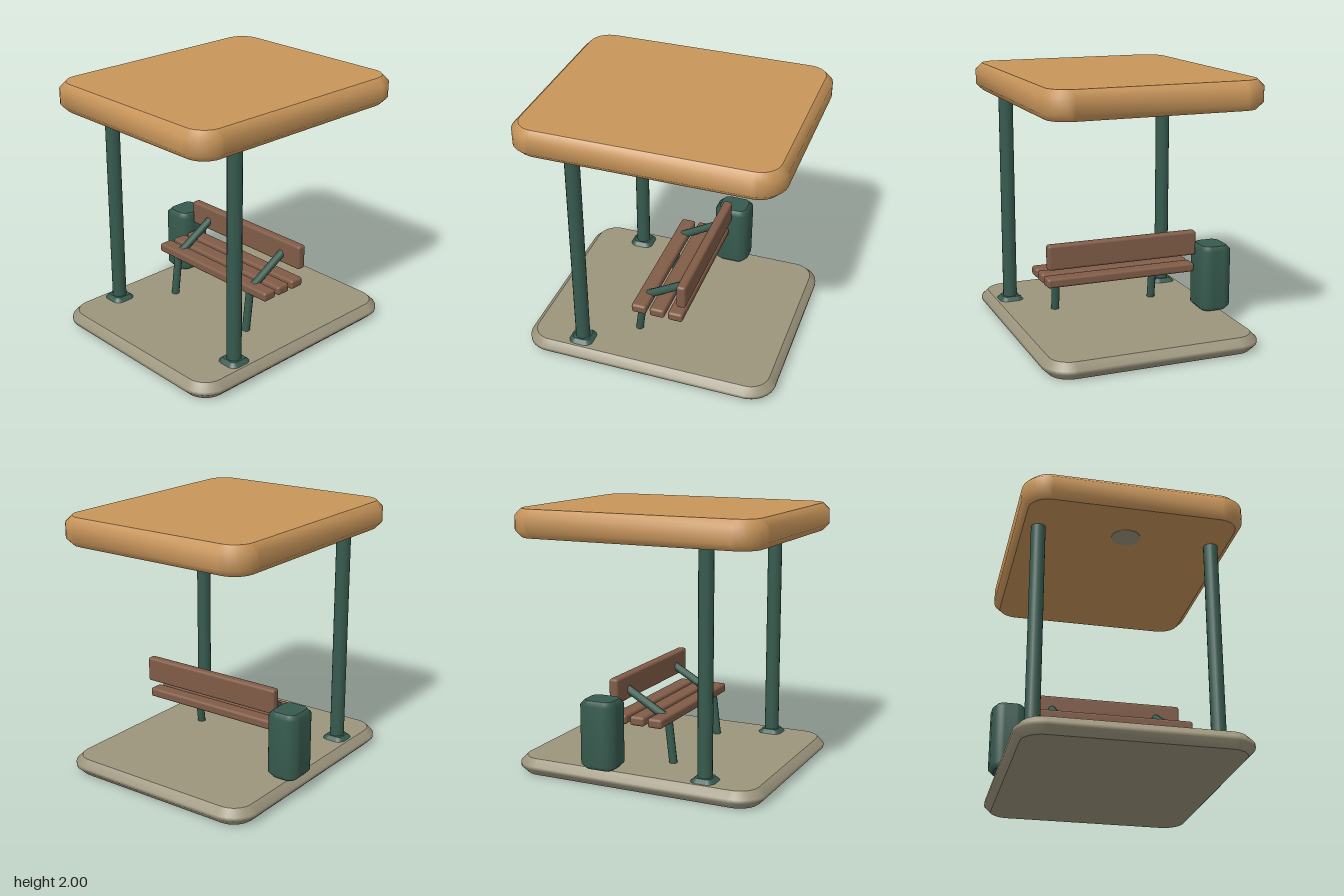
import * as THREE from 'three';
import { mergeVertices, mergeGeometries } from 'three/addons/utils/BufferGeometryUtils.js';
import { RoundedBoxGeometry } from 'three/addons/geometries/RoundedBoxGeometry.js';

const paint = (name, color) => {
  const m = new THREE.MeshStandardMaterial({ color });
  m.name = name;
  return m;
};

// Rounded slab with chamfered rims: flat lids, smoothly shaded rim
function slabGeometry(w, h, d, radius, bevel) {
  const r = radius - bevel, hx = w / 2 - radius, hz = d / 2 - radius;
  const s = new THREE.Shape();
  [[1, 1], [-1, 1], [-1, -1], [1, -1]].forEach(([sx, sz], i) =>
    s.absarc(sx * hx, sz * hz, r, i * Math.PI / 2, (i + 1) * Math.PI / 2, false));
  const ex = new THREE.ExtrudeGeometry(s, {
    depth: h - 2 * bevel, bevelThickness: bevel, bevelSize: bevel, bevelSegments: 1, curveSegments: 4,
  });
  const all = ex.attributes.position.array;
  const parts = ex.groups.map((g, i) => {
    let p = new THREE.BufferGeometry();
    p.setAttribute('position', new THREE.BufferAttribute(all.slice(g.start * 3, (g.start + g.count) * 3), 3));
    if (i === 1) p = mergeVertices(p, 1e-4);
    p.computeVertexNormals();
    return p.index ? p.toNonIndexed() : p;
  });
  return mergeGeometries(parts).rotateX(-Math.PI / 2).translate(0, bevel, 0);
}

export function createModel() {
  const model = new THREE.Group();
  model.name = 'shelter';
  const roofMat = paint('ochre roof', 0xc8955a);
  const stoneMat = paint('stone grey', 0x9c957d);
  const metalMat = paint('dark green metal', 0x365a4e);
  const woodMat = paint('brown wood', 0x805c47);
  const cx = 0.015;

  const add = (parent, name, geo, mat, x = 0, y = 0, z = 0) => {
    const m = new THREE.Mesh(geo, mat);
    m.name = name;
    m.position.set(x, y, z);
    parent.add(m);
    return m;
  };

  // Round bar between two points
  const bar = (parent, name, a, b, r, sides) => {
    const from = new THREE.Vector3(...a), dir = new THREE.Vector3(...b).sub(from);
    const m = add(parent, name, new THREE.CylinderGeometry(r, r, dir.length(), sides), metalMat);
    m.position.copy(from).addScaledVector(dir, 0.5);
    m.quaternion.setFromUnitVectors(new THREE.Vector3(0, 1, 0), dir.normalize());
  };

  // Floor, roof and ceiling lamp
  add(model, 'floorSlab', slabGeometry(1.655, 0.127, 1.98, 0.2, 0.05), stoneMat, cx);
  add(model, 'roof', slabGeometry(1.655, 0.212, 1.97, 0.2, 0.05), roofMat, cx, 1.788);
  add(model, 'ceilingLamp', new THREE.CylinderGeometry(0.11, 0.11, 0.009, 20), stoneMat, cx, 1.788, 0.545);

  // Posts with foot plates
  for (const side of [-1, 1]) {
    const x = cx + side * 0.665;
    bar(model, 'post', [x, 0.12, 0.545], [x, 1.8, 0.545], 0.055, 16);
    add(model, 'footPlate', slabGeometry(0.19, 0.062, 0.19, 0.06, 0.03), metalMat, x, 0.094, 0.545);
  }

  // Bench: three seat slats, backrest, and a leg and arm on each side
  const bench = new THREE.Group();
  bench.name = 'bench';
  model.add(bench);
  for (const z of [0.107, -0.038, -0.183])
    add(bench, 'seatSlat', new RoundedBoxGeometry(1.195, 0.072, 0.117, 2, 0.02), woodMat, cx, 0.466, z);
  add(bench, 'backrest', new RoundedBoxGeometry(1.195, 0.192, 0.072, 2, 0.02), woodMat, cx, 0.669, -0.229);
  for (const side of [-1, 1]) {
    const x = cx + side * 0.408;
    bar(bench, 'benchLeg', [x, 0.125, 0.172], [x, 0.47, 0.13], 0.031, 10);
    bar(bench, 'benchArm', [x, 0.46, 0.13], [x, 0.663, -0.225], 0.031, 10);
  }

  // Litter bin
  add(model, 'litterBin', slabGeometry(0.262, 0.515, 0.29, 0.09, 0.035), metalMat, -0.717, 0.135, -0.246);

  return model;
}
